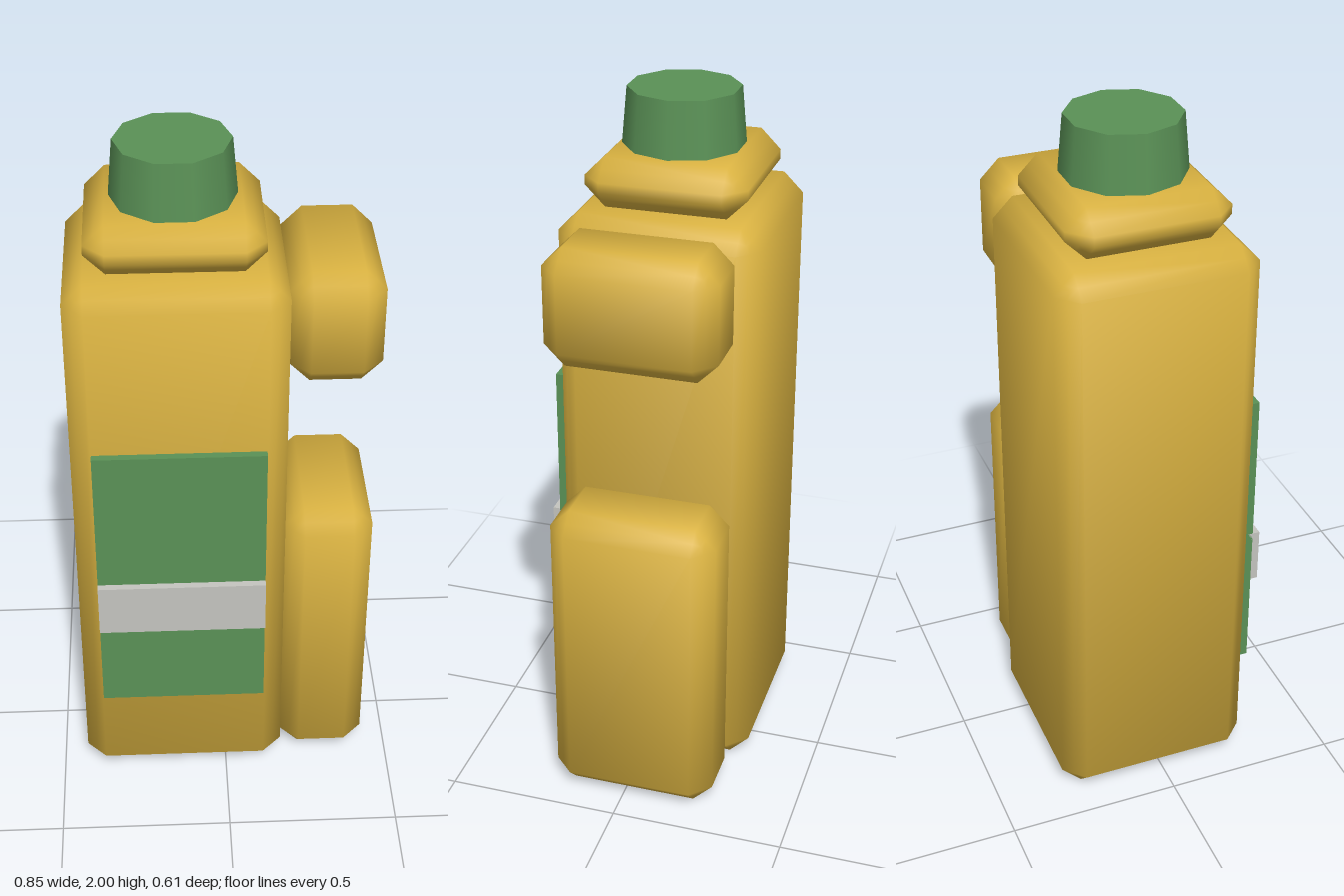
import * as THREE from 'three';

const CHAMFER = 0.057;

// Box with 45-degree chamfered edges and soft shading, from min to max corner
function chamferedBox(min, max, c = CHAMFER) {
  const size = max.map((v, i) => v - min[i]);
  const geo = new THREE.BoxGeometry(1, 1, 1, 3, 3, 3);
  const pos = geo.attributes.position;
  const nor = geo.attributes.normal;
  for (let i = 0; i < pos.count; i++) {
    const p = [pos.getX(i), pos.getY(i), pos.getZ(i)];
    const rim = p.map((v) => (Math.abs(v) > 0.4 ? 1 : 0));
    const k = rim[0] + rim[1] + rim[2];
    // face points keep the full depth; edge and corner points sink onto the chamfer
    const q = p.map((v, a) => Math.sign(v) * (size[a] / 2 - c + (c * rim[a]) / k));
    const n = p.map((v, a) => Math.sign(v) * (0.36 + (0.5 * rim[a]) / k));
    const len = Math.hypot(...n);
    pos.setXYZ(i, ...q);
    nor.setXYZ(i, n[0] / len, n[1] / len, n[2] / len);
  }
  return geo.translate(...min.map((v, i) => (v + max[i]) / 2));
}

// Plain sharp box from min to max corner
function plainBox(min, max) {
  return new THREE.BoxGeometry(...max.map((v, i) => v - min[i]))
    .translate(...min.map((v, i) => (v + max[i]) / 2));
}

function material(name, color) {
  const m = new THREE.MeshStandardMaterial({ color });
  m.name = name;
  return m;
}

export function createModel() {
  const group = new THREE.Group();
  group.name = 'bottle';
  const yellow = material('yellow plastic', 0xd8b140);
  const green = material('green', 0x5a9156);
  const grey = material('light grey', 0xc4c4bf);

  const add = (name, geo, mat) => {
    const mesh = new THREE.Mesh(geo, mat);
    mesh.name = name;
    group.add(mesh);
  };

  // Container and shoulder
  add('body', chamferedBox([-0.428, 0, -0.306], [0.17, 1.7, 0.262]), yellow);
  add('shoulder', chamferedBox([-0.368, 1.7, -0.25], [0.11, 1.842, 0.205]), yellow);

  // Split side handle
  add('handleTop', chamferedBox([0.17, 1.365, -0.262], [0.425, 1.7, 0.217]), yellow);
  add('handleBottom', chamferedBox([0.17, 0, -0.262], [0.425, 0.922, 0.217]), yellow);

  // Ten-sided tapered cap
  const cap = new THREE.CylinderGeometry(0.157, 0.171, 0.16, 10)
    .rotateY(Math.PI / 2)
    .translate(-0.129, 1.92, -0.022);
  add('cap', cap, green);

  // Front label with its stripe
  add('label', plainBox([-0.368, 0.324, 0.25], [0.11, 1.204, 0.284]), green);
  add('labelStripe', plainBox([-0.368, 0.603, 0.27], [0.11, 0.765, 0.305]), grey);

  return group;
}
